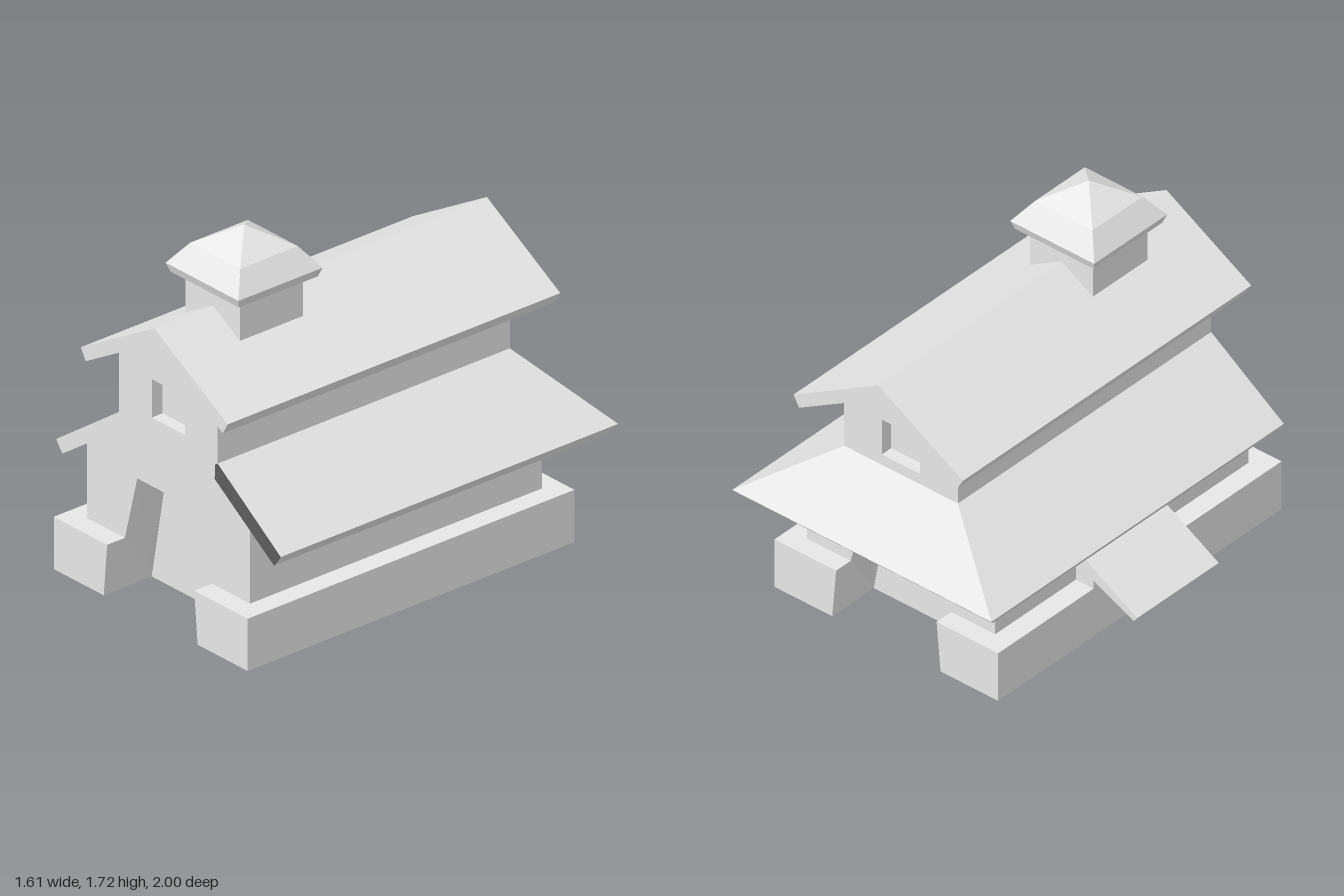
import * as THREE from 'three';

function makeMaterial(name, color) {
  const material = new THREE.MeshStandardMaterial({ color, flatShading: true, side: THREE.DoubleSide });
  material.name = name;
  return material;
}
const plaster = makeMaterial('pale grey', 0xe7e7e7);
const darkTrim = makeMaterial('dark grey', 0x5c5c5c);

// Half-widths from the building's centre line, and its main heights
const BASE = 0.63, LOWER = 0.53, UPPER = 0.32;
const DOOR = 0.305, DOOR_MID = 0.283, DOOR_TOP = 0.2025, WIN = 0.1075;
const BASE_Y = 0.25, DOOR_Y = 0.565, SILL = 0.893, HEAD = 1.076;
const LOWER_Y = 0.606, UPPER_Y = 0.751;

// Planes of each end: base, wall, door panel, window pane
const ENDS = [
  { base: 1.0, wall: 0.9, door: 0.73, pane: 0.84, sign: 1 },
  { base: -0.84, wall: -0.745, door: -0.57, pane: -0.685, sign: -1 },
];

// Polygons drawn for the left half are mirrored to the right half
function addPolygons(out, polygons, sign = 1) {
  for (const side of [1, -1]) {
    for (const polygon of polygons) {
      const p = polygon.map(([x, y, z]) => [x * side, y, z]);
      // turn the corner order, keeping the first corner as the hub of the fan
      if (side * sign < 0) p.push(...p.splice(1).reverse());
      for (let i = 1; i < p.length - 1; i++) out.push(...p[0], ...p[i], ...p[i + 1]);
    }
  }
}

function makeMesh(name, geometry, material = plaster) {
  const mesh = new THREE.Mesh(geometry, material);
  mesh.name = name;
  return mesh;
}

function meshFrom(name, positions) {
  const geometry = new THREE.BufferGeometry();
  geometry.setAttribute('position', new THREE.Float32BufferAttribute(positions, 3));
  geometry.computeVertexNormals();
  return makeMesh(name, geometry);
}

// Same polygons at the front and the back end
function bothEnds(name, polygonsOf) {
  const out = [];
  for (const end of ENDS) addPolygons(out, polygonsOf(end), end.sign);
  return meshFrom(name, out);
}

// Flat polygon at a constant z
const flat = (z, points) => points.map(([x, y]) => [x, y, z]);

function extrude(name, points, z0, z1, material) {
  const shape = new THREE.Shape(points.map(([x, y]) => new THREE.Vector2(x, y)));
  const geometry = new THREE.ExtrudeGeometry(shape, { depth: z1 - z0, bevelEnabled: false });
  return makeMesh(name, geometry.translate(0, 0, z0), material);
}

function makeBase() {
  return bothEnds('base', ({ base: b, wall: w, door: d }) => [
    flat(b, [[DOOR, 0], [BASE, 0], [BASE, BASE_Y], [DOOR_MID, BASE_Y]]),
    // ledges
    [[DOOR_MID, BASE_Y, b], [BASE, BASE_Y, b], [BASE, BASE_Y, w], [DOOR_MID, BASE_Y, w]],
    [[LOWER, BASE_Y, w], [BASE, BASE_Y, w], [BASE, BASE_Y, 0], [LOWER, BASE_Y, 0]],
    // side
    [[BASE, 0, b], [BASE, 0, 0], [BASE, BASE_Y, 0], [BASE, BASE_Y, b]],
    // underside with the doorway notch
    [[DOOR, 0, d], [0, 0, d], [0, 0, 0], [BASE, 0, 0], [BASE, 0, b], [DOOR, 0, b]],
  ]);
}

function makeDoorways() {
  return bothEnds('doorways', ({ base: b, wall: w, door: d }) => [
    // jamb running through base and wall
    [[DOOR, 0, d], [DOOR, 0, b], [DOOR_MID, BASE_Y, b], [DOOR_MID, BASE_Y, w],
      [DOOR_TOP, DOOR_Y, w], [DOOR_TOP, DOOR_Y, d]],
    // lintel and door panel
    [[0, DOOR_Y, d], [DOOR_TOP, DOOR_Y, d], [DOOR_TOP, DOOR_Y, w], [0, DOOR_Y, w]],
    flat(d, [[0, 0], [DOOR, 0], [DOOR_TOP, DOOR_Y], [0, DOOR_Y]]),
  ]);
}

function makeWalls() {
  return bothEnds('walls', ({ wall: w }) => [
    // gable end around the door and window
    flat(w, [[DOOR_TOP, DOOR_Y], [DOOR_MID, BASE_Y], [LOWER, BASE_Y], [LOWER, LOWER_Y], [UPPER, UPPER_Y]]),
    flat(w, [[0, DOOR_Y], [DOOR_TOP, DOOR_Y], [UPPER, UPPER_Y], [0, UPPER_Y]]),
    flat(w, [[0, UPPER_Y], [UPPER, UPPER_Y], [UPPER, SILL], [0, SILL]]),
    flat(w, [[WIN, SILL], [UPPER, SILL], [UPPER, HEAD], [WIN, HEAD]]),
    flat(w, [[0, HEAD], [UPPER, HEAD], [UPPER, 1.131], [0, 1.316]]),
    // long sides
    [[LOWER, BASE_Y, w], [LOWER, BASE_Y, 0], [LOWER, LOWER_Y, 0], [LOWER, LOWER_Y, w]],
    [[UPPER, UPPER_Y, w], [UPPER, UPPER_Y, 0], [UPPER, 1.131, 0], [UPPER, 1.131, w]],
  ]);
}

function makeWindows() {
  return bothEnds('windows', ({ wall: w, pane: p }) => [
    [[WIN, SILL, p], [WIN, SILL, w], [WIN, HEAD, w], [WIN, HEAD, p]],
    [[0, HEAD, p], [WIN, HEAD, p], [WIN, HEAD, w], [0, HEAD, w]],
    [[0, SILL, w], [WIN, SILL, w], [WIN, SILL, p], [0, SILL, p]],
    flat(p, [[0, SILL], [WIN, SILL], [WIN, HEAD], [0, HEAD]]),
  ]);
}

// Skirt roof: two long slopes cut flush at the front, hipped at the back
function makeLowerRoof() {
  const ring = [[UPPER, 0.75, -0.745], [0.69, 0.495, -0.945], [0.73, 0.55, -1], [UPPER, 0.838, -0.745]];
  const polygons = [flat(0.9, ring)];
  for (let i = 0; i < 3; i++) {
    const a = ring[i], b = ring[i + 1];
    polygons.push([[a[0], a[1], 0.9], a, b, [b[0], b[1], 0.9]]);
    polygons.push([a, [0, a[1], a[2]], [0, b[1], b[2]], b]);
  }
  const out = [];
  addPolygons(out, polygons);
  return meshFrom('lowerRoof', out);
}

function makeCupola() {
  const cupola = new THREE.Group();
  cupola.name = 'cupola';
  const box = new THREE.BoxGeometry(0.354, 0.22, 0.354).translate(0, 1.37, 0);
  // square bell roof
  const profile = [[0, 1.478], [0.222, 1.478], [0.237, 1.52], [0.162, 1.62], [0, 1.715]]
    .map(([half, y]) => new THREE.Vector2(half * Math.SQRT2, y));
  const roof = new THREE.LatheGeometry(profile, 4).rotateY(Math.PI / 4).toNonIndexed();
  roof.computeVertexNormals();
  cupola.add(makeMesh('cupolaWalls', box), makeMesh('cupolaRoof', roof));
  cupola.position.z = 0.474;
  return cupola;
}

export function createModel() {
  const model = new THREE.Group();
  model.name = 'barn';
  const upperRoof = extrude('upperRoof',
    [[0, 1.315], [0.446, 1.058], [0.477, 1.113], [0, 1.388], [-0.477, 1.113], [-0.446, 1.058]], -0.893, 0.98);
  const leanTo = extrude('leanTo',
    [[-0.53, 0.25], [-0.53, 0.41], [-0.875, 0.211], [-0.857, 0.186], [-0.63, 0.29], [-0.63, 0.25]], -0.22, 0.31);
  // dark board on the left front end of the lower roof
  const vergeBoard = extrude('leftVergeBoard',
    [[0.305, 0.76], [0.69, 0.495], [0.73, 0.55], [UPPER, 0.838], [0.308, 0.83]], 0.9, 0.904, darkTrim);
  model.add(makeBase(), makeDoorways(), makeWalls(), makeWindows(), makeLowerRoof(), vergeBoard,
    upperRoof, leanTo, makeCupola());
  // centre line sits to one side because of the lean-to
  for (const part of model.children) part.position.x = 0.072;
  return model;
}
